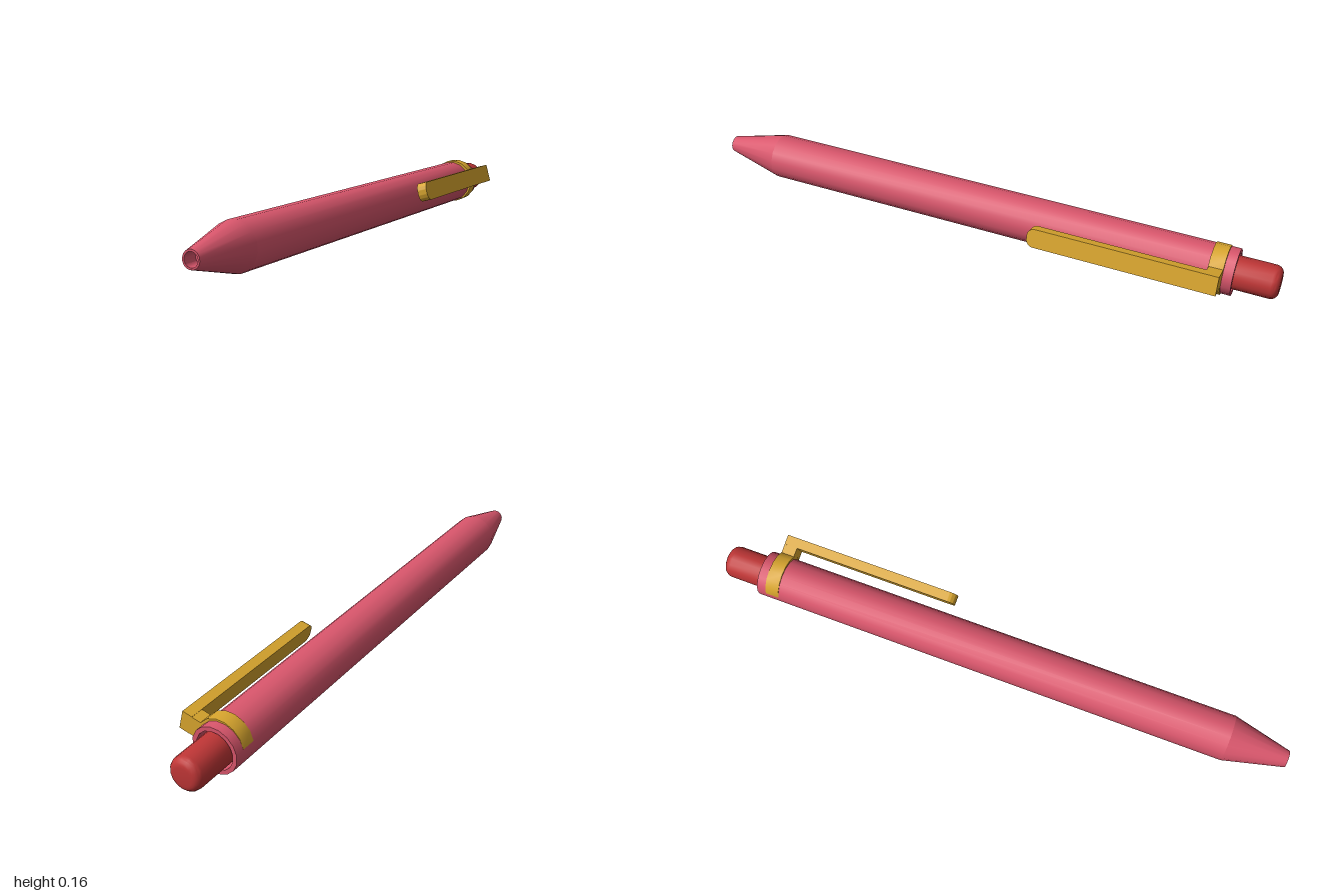
import * as THREE from 'three';
import { toCreasedNormals } from 'three/addons/utils/BufferGeometryUtils.js';

const SIDES = 16;

// Revolve [radius, z] pairs around the z axis, keeping sharp edges.
function turned(name, profile, material) {
  const points = profile.map(([r, z]) => new THREE.Vector2(r, z));
  const geometry = new THREE.LatheGeometry(points, SIDES).rotateX(Math.PI / 2);
  const mesh = new THREE.Mesh(toCreasedNormals(geometry, 0.6), material);
  mesh.name = name;
  return mesh;
}

export function createModel() {
  const pink = new THREE.MeshStandardMaterial({ name: 'pink barrel', color: 0xd9566c });
  const gold = new THREE.MeshStandardMaterial({ name: 'gold trim', color: 0xd9a62e });
  const red = new THREE.MeshStandardMaterial({ name: 'red button', color: 0xbf3636 });

  const pen = new THREE.Group();
  pen.name = 'pen';
  // The pen lies along z, rolled slightly so the clip points up and left.
  pen.position.set(-0.035, 0.08, 0);
  pen.rotation.z = THREE.MathUtils.degToRad(15);

  // Barrel with a recess at the back for the button
  pen.add(turned('barrel', [
    [0, -0.8], [0.063, -0.8], [0.063, -0.86], [0.077, -0.86], [0.077, 0.8],
  ], pink));

  // Tapered nose with a small opening
  pen.add(turned('nose', [
    [0.077, 0.8], [0.028, 1], [0.022, 1], [0.022, 0.95], [0, 0.95],
  ], pink));

  // Push button with a rounded end
  const button = [[0, -1]];
  for (let i = 0; i <= 5; i++) {
    const a = (i / 5) * Math.PI / 2;
    button.push([0.03 + 0.025 * Math.sin(a), -0.975 - 0.025 * Math.cos(a)]);
  }
  button.push([0.055, -0.8]);
  pen.add(turned('button', button, red));

  // Clip: ring, bridge and long bar
  const clip = new THREE.Group();
  clip.name = 'clip';
  const ring = turned('clipRing', [
    [0.07, -0.828], [0.081, -0.828], [0.081, -0.78], [0.07, -0.78],
  ], gold);
  ring.position.set(0.005, 0.001, 0);
  clip.add(ring);

  const bridge = new THREE.Mesh(new THREE.BoxGeometry(0.053, 0.062, 0.046), gold);
  bridge.name = 'clipBridge';
  bridge.position.set(0.0915, 0, -0.805);
  clip.add(bridge);

  // Bar outline in (z, width), with rounded front corners
  const w = 0.032, r = 0.025, back = -0.828, front = -0.205;
  const outline = new THREE.Shape();
  outline.moveTo(back, -w);
  outline.lineTo(front - r, -w);
  outline.absarc(front - r, -w + r, r, -Math.PI / 2, 0, false);
  outline.lineTo(front, w - r);
  outline.absarc(front - r, w - r, r, 0, Math.PI / 2, false);
  outline.lineTo(back, w);
  outline.closePath();
  const barGeometry = new THREE.ExtrudeGeometry(outline, { depth: 0.034, bevelEnabled: false, curveSegments: 6 });
  barGeometry.rotateY(-Math.PI / 2).translate(0.145, 0, 0);
  const bar = new THREE.Mesh(toCreasedNormals(barGeometry, 0.6), gold);
  bar.name = 'clipBar';
  clip.add(bar);
  pen.add(clip);

  const model = new THREE.Group();
  model.name = 'model';
  model.add(pen);
  return model;
}
